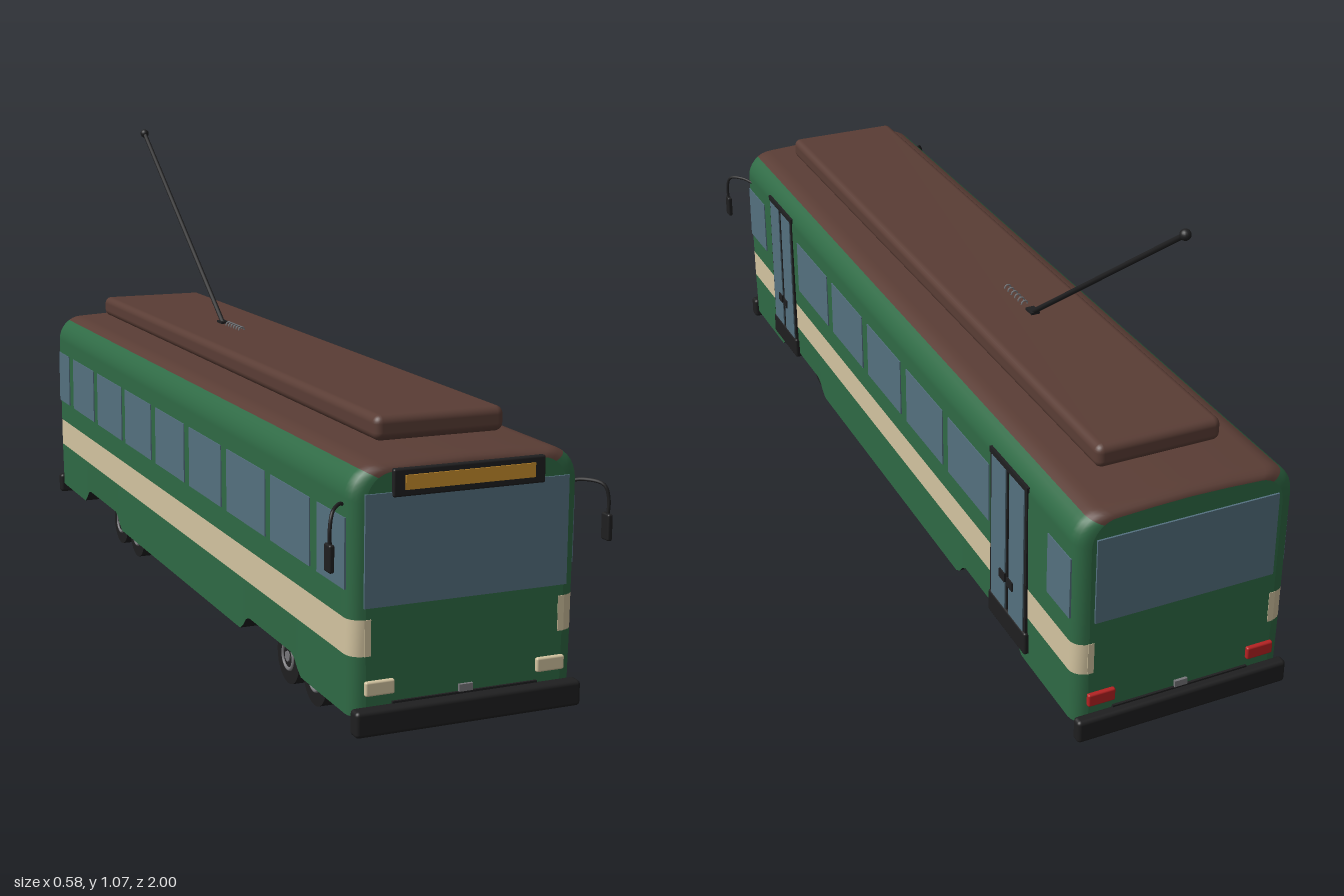
import * as THREE from 'three';
import { RoundedBoxGeometry } from 'three/addons/geometries/RoundedBoxGeometry.js';

const mat = (name, color, side = THREE.FrontSide) => {
  const m = new THREE.MeshStandardMaterial({ color, side });
  m.name = name;
  return m;
};

export function createModel() {
  const green = mat('body green', 0x2f6a45);
  const brown = mat('roof brown', 0x5a3d35);
  const cream = mat('stripe cream', 0xd3c4a0);
  const glass = mat('window blue grey', 0x54707f);
  const black = mat('trim black', 0x1f1f20);
  const amber = mat('sign amber', 0xc98f2c);
  const red = mat('tail light red', 0xb52222);
  const grey = mat('metal grey', 0x77777a);

  const model = new THREE.Group();
  model.name = 'trolleybus';

  const add = (name, geo, material, x = 0, y = 0, z = 0, parent = model) => {
    const m = new THREE.Mesh(geo, material);
    m.name = name;
    m.position.set(x, y, z);
    parent.add(m);
    return m;
  };
  // box given by its limits on each axis
  const box = (name, material, [x0, x1], [y0, y1], [z0, z1], r = 0) => {
    const s = [Math.abs(x1 - x0), y1 - y0, Math.abs(z1 - z0)];
    const geo = r ? new RoundedBoxGeometry(...s, 3, r) : new THREE.BoxGeometry(...s);
    return add(name, geo, material, (x0 + x1) / 2, (y0 + y1) / 2, (z0 + z1) / 2);
  };
  const rod = (name, material, pts, r) => add(name,
    new THREE.TubeGeometry(new THREE.CatmullRomCurve3(pts.map(p => new THREE.Vector3(...p))), 20, r, 10), material);

  // ---- body shell: bands of one cross-section swept along z ----
  const FRONT = 0.968, BACK = -0.978, R = 0.03;
  const smooth = t => { t = Math.min(1, Math.max(0, t)); return t * t * (3 - 2 * t); };
  const floorY = z => {               // bottom edge rises over each pair of wheels
    const d = Math.min(Math.abs(z - 0.57), Math.abs(z + 0.582));
    return 0.1 + 0.036 * smooth((0.165 - d) / 0.05);
  };
  const stations = [];                // [z, inset]
  for (let i = 0; i <= 5; i++) {
    const a = i / 5 * Math.PI / 2;
    stations.push([BACK + R * (1 - Math.sin(a)), R * (1 - Math.cos(a))]);
  }
  stations.reverse();
  stations.sort((a, b) => a[0] - b[0]);
  const n = 110;
  for (let i = 1; i < n; i++) stations.push([BACK + R + (FRONT - BACK - 2 * R) * i / n, 0]);
  for (let i = 0; i <= 5; i++) {
    const a = i / 5 * Math.PI / 2;
    stations.push([FRONT - R * (1 - Math.sin(a)), R * (1 - Math.cos(a))]);
  }
  const place = ([x, y], z, inset) => [
    x * (1 - inset / 0.235),
    (y === null ? floorY(z) : y - inset * 0.5 * Math.max(0, (y - 0.4) / 0.17)),
    z];

  const corner = [];                  // rounded roof edge
  for (let i = 0; i <= 8; i++) {
    const a = i / 8 * Math.PI / 2;
    corner.push([0.173 + 0.062 * Math.cos(a), 0.505 + 0.062 * Math.sin(a)]);
  }
  const mirror = pts => pts.map(([x, y]) => [-x, y]).reverse();
  const lower = [[0.23, null], [0.2325, 0.214]];
  const stripe = [[0.2325, 0.214], [0.233, 0.283]];
  const upper = [[0.233, 0.283], ...corner.slice(0, 6)];
  const roofHalf = [...corner.slice(5), [0.09, 0.571], [0, 0.573]];
  const roof = [...roofHalf, ...mirror(roofHalf).slice(1)];

  const band = (name, material, profile) => {
    const pos = [], idx = [], w = profile.length;
    for (const [z, inset] of stations) for (const p of profile) pos.push(...place(p, z, inset));
    for (let j = 0; j < stations.length - 1; j++) {
      for (let i = 0; i < w - 1; i++) {
        const a = j * w + i, b = a + 1, c = a + w, d = c + 1;
        idx.push(a, b, c, b, d, c);
      }
    }
    const g = new THREE.BufferGeometry();
    g.setAttribute('position', new THREE.Float32BufferAttribute(pos, 3));
    g.setIndex(idx);
    g.computeVertexNormals();
    add(name, g, material);
  };
  for (const [side, f] of [['left', p => p], ['right', mirror]]) {
    band(side + 'LowerSide', green, f(lower));
    band(side + 'Stripe', cream, f(stripe));
    band(side + 'UpperSide', green, f(upper));
  }
  band('roof', brown, roof);
  band('floor', black, [[-0.23, null], [0.23, null]]);

  // flat end walls
  const outline = [...lower, ...stripe.slice(1), ...upper.slice(1), ...roof.slice(1),
    ...mirror(upper).slice(1), ...mirror(stripe).slice(1), ...mirror(lower).slice(1)];
  const endShape = new THREE.Shape(outline.map(p => {
    const [x, y] = place(p, FRONT, R);
    return new THREE.Vector2(x, y);
  }));
  add('frontWall', new THREE.ShapeGeometry(endShape), green, 0, 0, FRONT);
  add('backWall', new THREE.ShapeGeometry(endShape), green, 0, 0, BACK).rotation.y = Math.PI;

  // ---- ends: glass, lights, bumpers ----
  for (const [end, z, s] of [['front', FRONT, 1], ['back', BACK, -1]]) {
    const front = s > 0;
    const plate = t => [z - s * 0.002, z + s * t];
    box(end + 'Window', glass, front ? [-0.208, 0.208] : [-0.195, 0.195], [front ? 0.305 : 0.33, 0.515], plate(0.004));
    box(end + 'Bumper', black, [-0.233, 0.233], [0.07, 0.12], [z - s * 0.003, front ? 0.996 : -1], 0.008);
    box(end + 'NumberPlate', grey, [-0.014, 0.014], [0.124, 0.138], plate(0.006));
    box(end + 'Sill', black, [-0.15, 0.15], [0.116, 0.124], plate(0.005));
    for (const m of [-1, 1]) {
      box(end + 'StripeEnd', cream, [m * 0.193, m * 0.206], [0.214, 0.283], plate(0.001));
      box(end + 'Light', front ? cream : red, [m * 0.147, m * 0.206], [0.14, 0.168], plate(0.009), 0.004);
    }
  }
  box('destinationSign', black, [-0.155, 0.155], [0.506, 0.558], [0.95, 0.976], 0.004);
  box('signDisplay', amber, [-0.132, 0.132], [0.519, 0.546], [0.975, 0.979]);

  // ---- side windows ----
  const windows = [[0.82, 0.945], [0.59, 0.785], [0.345, 0.56], [0.11, 0.31], [-0.125, 0.075],
    [-0.36, -0.16], [-0.595, -0.39], [-0.82, -0.63], [-0.955, -0.86]];
  for (const s of [-1, 1]) {
    windows.forEach((zr, i) => {
      if (s > 0 && (i === 1 || i === 7)) return;    // doors take these bays
      box('sideWindow', glass, [s * 0.2305, s * 0.2365], [0.337, 0.47], zr);
    });
  }

  // ---- two double-leaf doors on the left side ----
  for (const zc of [0.68, -0.69]) {
    box('doorHeader', black, [0.228, 0.239], [0.508, 0.52], [zc - 0.086, zc + 0.086]);
    box('doorStep', black, [0.2, 0.241], [0.126, 0.178], [zc - 0.086, zc + 0.086], 0.005);
    for (const s of [-1, 1]) {
      box('doorFrame', black, [0.228, 0.2375], [0.17, 0.51], [zc + s * 0.004, zc + s * 0.083]);
      box('doorGlass', glass, [0.236, 0.24], [0.178, 0.508], [zc + s * 0.009, zc + s * 0.074]);
      box('doorHandle', black, [0.238, 0.243], [0.245, 0.265], [zc + s * 0.006, zc + s * 0.03]);
    }
  }

  // ---- wing mirrors ----
  for (const s of [-1, 1]) {
    rod('mirrorArm', black, [[s * 0.23, 0.49, 0.925], [s * 0.25, 0.498, 0.95], [s * 0.277, 0.492, 0.982],
      [s * 0.284, 0.465, 0.988], [s * 0.283, 0.43, 0.987]], 0.0035);
    box('mirror', black, [s * 0.278, s * 0.289], [0.386, 0.438], [0.972, 0.998], 0.004);
  }

  // ---- roof pod and trolley pole ----
  box('roofPod', brown, [-0.135, 0.135], [0.58, 0.629], [-0.86, 0.856], 0.016);
  for (const z of [-0.6, 0, 0.6]) box('podMount', black, [-0.05, 0.05], [0.565, 0.585], [z - 0.03, z + 0.03]);
  rod('trolleyPole', black, [[0, 0.625, -0.3], [0, 0.8425, -0.6025], [0, 1.06, -0.905]], 0.0055);
  add('poleTip', new THREE.SphereGeometry(0.011, 16, 12), black, 0, 1.06, -0.905);
  box('poleBase', black, [-0.01, 0.01], [0.626, 0.634], [-0.32, -0.29]);
  for (let i = 0; i < 6; i++) {
    add('poleSpring', new THREE.TorusGeometry(0.007, 0.002, 6, 14), grey, 0, 0.63, -0.18 - i * 0.017);
  }

  // ---- wheels and underframe ----
  const cyl = (r, w) => new THREE.CylinderGeometry(r, r, w, 28).rotateZ(Math.PI / 2);
  for (const z of [0.64, 0.503, -0.513, -0.65]) {
    add('axle', cyl(0.012, 0.26), black, 0, 0.06, z);
    for (const s of [-1, 1]) {
      add('tyre', cyl(0.058, 0.04), black, s * 0.141, 0.06, z);
      add('wheelRim', new THREE.TorusGeometry(0.027, 0.004, 8, 28).rotateY(Math.PI / 2), grey, s * 0.161, 0.06, z);
      add('wheelHub', cyl(0.011, 0.008), grey, s * 0.16, 0.06, z);
    }
  }
  box('frontUnderframe', black, [-0.15, 0.15], [0.07, 0.102], [0.32, 0.5], 0.008);
  box('backUnderframe', black, [-0.15, 0.15], [0.07, 0.102], [-0.83, -0.65], 0.008);

  return model;
}
